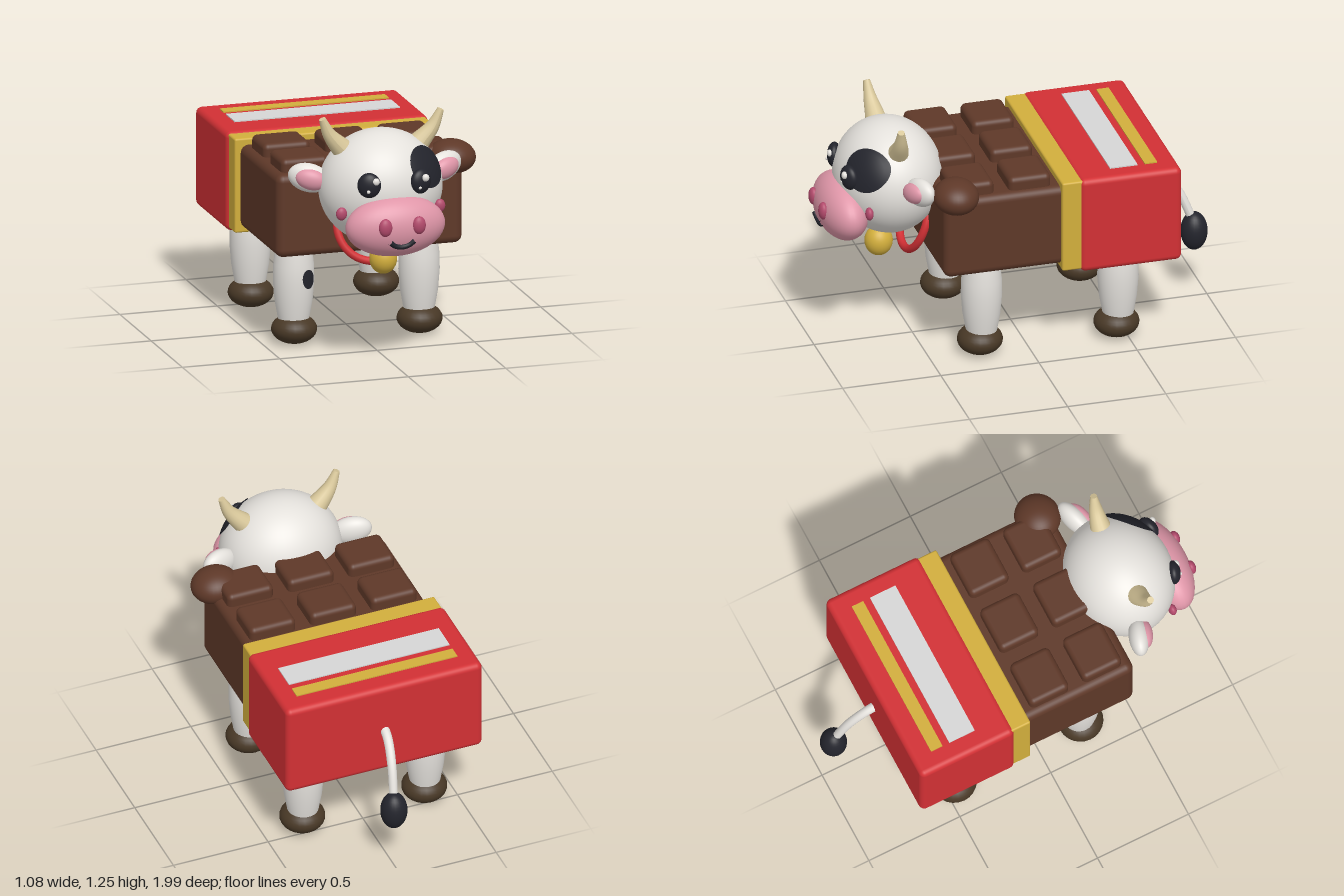
import * as THREE from 'three';
import { RoundedBoxGeometry } from 'three/addons/geometries/RoundedBoxGeometry.js';

const CX = -0.022; // middle plane of the animal

function material(name, color, side = THREE.FrontSide) {
  const m = new THREE.MeshStandardMaterial({ color, side });
  m.name = name;
  return m;
}

// Tube along a curve whose radius blends from r0 to r1, with capped ends
function taperedTube(points, r0, r1) {
  const curve = new THREE.CatmullRomCurve3(points.map(p => new THREE.Vector3(...p)));
  const rings = 16, sides = 16;
  const geo = new THREE.TubeGeometry(curve, rings, 1, sides);
  const pos = geo.attributes.position, v = new THREE.Vector3();
  for (let i = 0; i <= rings; i++) {
    const c = curve.getPointAt(i / rings), r = r0 + (r1 - r0) * i / rings;
    for (let j = 0; j <= sides; j++) {
      const k = i * (sides + 1) + j;
      v.fromBufferAttribute(pos, k).sub(c).multiplyScalar(r).add(c);
      pos.setXYZ(k, v.x, v.y, v.z);
    }
  }
  geo.computeVertexNormals();
  return { geo, end: curve.getPointAt(1), dir: curve.getTangentAt(1) };
}

// Oval marking wrapped onto the front of an ellipsoid
function wrappedOval(cx, cy, rx, ry, tilt, center, radii) {
  const geo = new THREE.RingGeometry(0.001, 1, 32, 8);
  geo.scale(rx, ry, 1).rotateZ(tilt).translate(cx, cy, 0);
  const pos = geo.attributes.position;
  for (let i = 0; i < pos.count; i++) {
    const x = (pos.getX(i) - center[0]) / radii[0], y = (pos.getY(i) - center[1]) / radii[1];
    pos.setZ(i, center[2] + radii[2] * Math.sqrt(Math.max(0.02, 1 - x * x - y * y)));
  }
  geo.computeVertexNormals();
  return geo;
}

export function createModel() {
  const model = new THREE.Group();
  model.name = 'chocolateCow';

  const white = material('white', 0xe4e1dc);
  const silver = material('silver', 0xd6d6d6);
  const black = material('black', 0x23242c, THREE.DoubleSide);
  const pink = material('pink', 0xdf96a8);
  const rose = material('rose', 0xb34a6c);
  const cream = material('horn cream', 0xd8c79a);
  const chocolate = material('chocolate', 0x5e3828);
  const hoofBrown = material('hoof brown', 0x483826);
  const red = material('red', 0xd23034);
  const gold = material('gold', 0xd2ae3c);

  const add = (name, geo, mat, parent = model) => {
    const mesh = new THREE.Mesh(geo, mat);
    mesh.name = name;
    parent.add(mesh);
    return mesh;
  };
  const ball = (name, mat, [x, y, z], [rx, ry, rz], seg = 32) => {
    const mesh = add(name, new THREE.SphereGeometry(1, seg, Math.round(seg * 0.75)), mat);
    mesh.position.set(x, y, z);
    mesh.scale.set(rx, ry, rz);
    return mesh;
  };
  // Box given by its low and high corners
  const box = (name, mat, lo, hi, r) => {
    const s = hi.map((h, i) => h - lo[i]);
    const geo = r ? new RoundedBoxGeometry(...s, 4, r) : new THREE.BoxGeometry(...s);
    add(name, geo, mat).position.set(...hi.map((h, i) => (h + lo[i]) / 2));
  };

  // Chocolate bar body, foil edge and wrapper
  box('body', chocolate, [-0.5, 0.495, -0.4], [0.455, 0.917, 0.465], 0.04);
  box('foil', gold, [-0.53, 0.472, -0.24], [0.482, 0.95, -0.125], 0.01);
  box('wrapper', red, [-0.542, 0.457, -0.732], [0.495, 0.958, -0.215], 0.03);
  box('wrapperGoldStripe', gold, [-0.446, 0.956, -0.63], [0.402, 0.964, -0.567]);
  box('wrapperSilverLabel', silver, [-0.446, 0.956, -0.53], [0.402, 0.964, -0.39]);

  // Raised chocolate squares
  for (const x of [-0.34, -0.02, 0.3])
    for (const z of [0.02, 0.31])
      box('chocolateSquare', chocolate, [x - 0.121, 0.88, z - 0.107], [x + 0.121, 0.983, z + 0.107], 0.028);

  // Melted lump on the front left corner
  ball('chocolateLump', chocolate, [0.415, 0.925, 0.398], [0.12, 0.085, 0.113]).rotation.z = -0.1;

  // Legs and hooves
  const legProfile = [[0.07, 0.08], [0.08, 0.14], [0.094, 0.22], [0.102, 0.32],
    [0.1, 0.4], [0.09, 0.49], [0.08, 0.54], [0, 0.55]].map(p => new THREE.Vector2(...p));
  const legGeo = new THREE.LatheGeometry(legProfile, 28);
  for (const side of [-1, 1])
    for (const [name, z] of [['front', 0.235], ['back', -0.46]]) {
      const x = CX + side * 0.322;
      add(name + 'Leg', legGeo, white).position.set(x, 0, z);
      ball(name + 'Hoof', hoofBrown, [x, 0.0735, z + 0.008], [0.113, 0.0735, 0.113], 24);
    }
  add('legSpot', wrappedOval(-0.297, 0.34, 0.034, 0.049, 0.1,
    [-0.344, 0.33, 0.235], [0.105, 0.6, 0.107]), black);

  // Head with muzzle
  const headCenter = [CX, 0.873, 0.62], headRadii = [0.308, 0.287, 0.268];
  ball('head', white, headCenter, headRadii, 48);
  add('eyePatch', wrappedOval(0.16, 0.995, 0.112, 0.08, -Math.PI / 4,
    headCenter, headRadii.map(r => r * 1.018)), black);
  ball('muzzle', pink, [CX, 0.733, 0.858], [0.253, 0.152, 0.125], 40);
  const smile = [[-0.062, 0.681], [-0.035, 0.66], [0, 0.652], [0.035, 0.66], [0.062, 0.681]]
    .map(([x, y]) => [CX + x, y, 0.969 - x * x * 1.2 + (y - 0.66) * 0.4]);
  add('mouth', taperedTube(smile, 0.013, 0.013).geo, black);

  // Paired parts of the face
  for (const s of [-1, 1]) {
    const ex = CX + s * 0.132;
    ball('eye', black, [ex, 0.945, 0.853], [0.058, 0.063, 0.035]).rotation.y = s * 0.35;
    ball('eyeHighlight', white, [ex + (s < 0 ? 0.026 : 0.016), 0.968, 0.882], [0.019, 0.019, 0.015], 16);
    ball('eyeGlint', white, [ex - 0.013, 0.921, 0.885], [0.009, 0.009, 0.008], 12);
    ball('nostril', rose, [CX + s * 0.086, 0.757, 0.972], [0.034, 0.045, 0.024], 20);
    ball('cheek', rose, [CX + s * 0.252, 0.793, 0.785], [0.028, 0.033, 0.02], 20);

    ball('ear', white, [CX + s * 0.345, 0.923, 0.553], [0.105, 0.072, 0.05])
      .rotation.set(0, s * 0.35, s * 0.25);
    ball('innerEar', pink, [CX + s * 0.345, 0.922, 0.585], [0.078, 0.052, 0.04])
      .rotation.set(0, s * 0.35, s * 0.25);

    const horn = taperedTube([[CX + s * 0.16, 1.04, 0.62], [CX + s * 0.21, 1.09, 0.623],
      [CX + s * 0.265, 1.155, 0.63], [CX + s * 0.304, 1.24, 0.638]], 0.062, 0.017);
    add('horn', horn.geo, cream);
    const cap = add('hornTip', new THREE.CircleGeometry(0.017, 16), cream);
    cap.position.copy(horn.end);
    cap.lookAt(horn.end.clone().add(horn.dir));
  }

  // Collar and bell
  const collar = add('collar', new THREE.TorusGeometry(0.178, 0.02, 16, 56), red);
  collar.position.set(CX, 0.636, 0.482);
  collar.rotation.x = -0.32;
  ball('bell', gold, [CX, 0.515, 0.665], [0.068, 0.077, 0.07]);

  // Tail with tuft
  add('tail', taperedTube([[-0.026, 0.71, -0.69], [-0.022, 0.675, -0.77],
    [-0.008, 0.58, -0.855], [0.01, 0.42, -0.925]], 0.024, 0.021).geo, white);
  ball('tailTuft', black, [0.012, 0.361, -0.931], [0.067, 0.1, 0.067], 24);

  return model;
}
